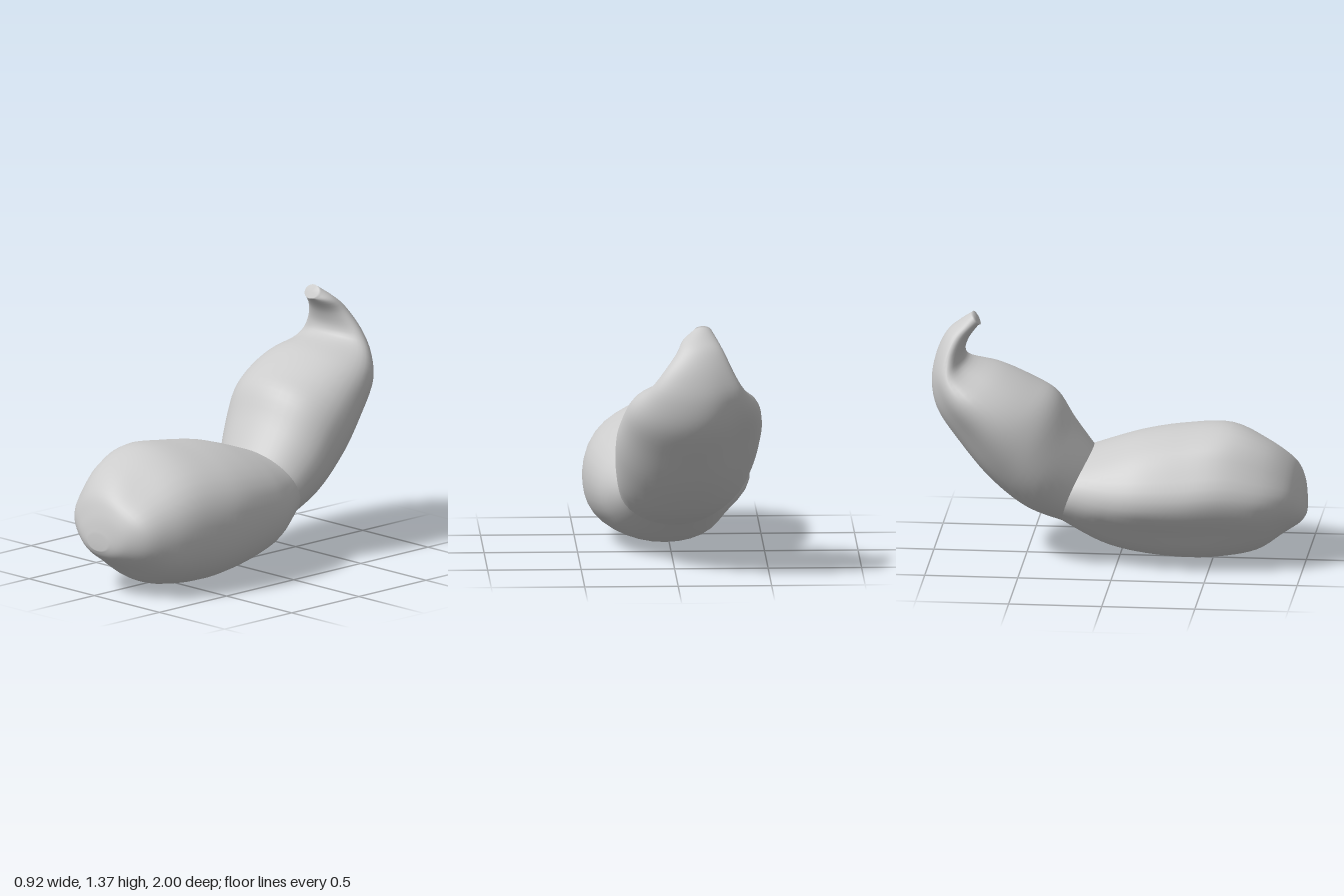
import * as THREE from 'three';

const SIDES = 40, ROWS = 40;

// Cross-sections: [upper z, upper y, lower z, lower y, min x, max x, sideways lean]
const SEAM = [-0.14, 0.6, -0.3, 0.2, -0.31, 0.29, 0];
const FRONT = [
  SEAM,
  [0, 0.65, -0.1, 0.085, -0.385, 0.385, -0.02],
  [0.15, 0.695, 0.1, 0.03, -0.43, 0.43, -0.03],
  [0.35, 0.73, 0.35, 0, -0.435, 0.455, -0.04],
  [0.6, 0.75, 0.55, 0.005, -0.405, 0.43, -0.05],
  [0.8, 0.67, 0.74, 0.045, -0.345, 0.39, -0.05],
  [0.93, 0.56, 0.88, 0.14, -0.25, 0.33, -0.03],
  [0.98, 0.45, 0.97, 0.205, -0.14, 0.22, 0],
  [1, 0.34, 1, 0.25, -0.05, 0.1, 0],
];
const BACK = [
  SEAM,
  [-0.24, 0.75, -0.5, 0.285, -0.4, 0.31, 0],
  [-0.33, 0.9, -0.7, 0.45, -0.45, 0.315, 0],
  [-0.45, 0.975, -0.86, 0.65, -0.465, 0.29, 0],
  [-0.62, 1.05, -0.97, 0.82, -0.44, 0.245, 0],
  [-0.78, 1.09, -1, 0.98, -0.365, 0.155, 0],
  [-0.82, 1.14, -0.975, 1.13, -0.305, 0.08, 0],
  [-0.8, 1.22, -0.92, 1.25, -0.255, 0.005, 0],
  [-0.75, 1.29, -0.85, 1.315, -0.215, -0.035, 0],
  [-0.735, 1.3, -0.775, 1.37, -0.19, -0.09, 0],
];

// Local swellings and hollows: [angle in degrees, position 0..1, amount, angular width, length]
const FRONT_BUMPS = [
  [-148, 0.35, -0.13, 22, 0.35],
  [145, 0.5, -0.09, 22, 0.35],
  [28, 0.4, 0.05, 25, 0.3],
  [-35, 0.55, 0.03, 22, 0.3],
  [55, 0.68, -0.11, 28, 0.15],
  [110, 0.62, 0.02, 18, 0.12],
];
const BACK_BUMPS = [
  [-137, 0.42, -0.13, 28, 0.25],
  [138, 0.55, -0.1, 24, 0.1],
  [42, 0.6, -0.05, 24, 0.1],
];

// Smoothly blended cross-section at t (0..1)
function sectionAt(list, t) {
  const f = t * (list.length - 1);
  const i = Math.min(Math.floor(f), list.length - 2), u = f - i;
  const at = k => list[Math.max(0, Math.min(list.length - 1, k))];
  return list[0].map((_, k) => {
    const [a, b, c, d] = [at(i - 1)[k], at(i)[k], at(i + 1)[k], at(i + 2)[k]];
    return b + 0.5 * u * (c - a + u * (2 * a - 5 * b + 4 * c - d + u * (3 * (b - c) + d - a)));
  });
}

// Radius factor from the bumps; fades out at the seam and the tip
function swell(bumps, angle, t) {
  return bumps.reduce((sum, [deg, t0, amount, width, length]) => {
    const turn = (((angle - deg) % 360) + 540) % 360 - 180;
    return sum + amount * Math.exp(-((turn / width) ** 2) - ((t - t0) / length) ** 2) * Math.min(1, 8 * t, 8 * (1 - t));
  }, 1);
}

// Lobe lofted from the shared seam out to a closed tip
function lobe(name, list, bumps, flip, material) {
  const pos = [], index = [];
  const tri = (a, b, c) => (flip ? index.push(a, c, b) : index.push(a, b, c));
  for (let r = 0; r <= ROWS; r++) {
    const t = r / ROWS;
    const [tz, ty, bz, by, x0, x1, lean] = sectionAt(list, t);
    // The seam bows gently backwards at mid height
    const bow = -0.025 * Math.max(0, 1 - 5 * t);
    for (let j = 0; j < SIDES; j++) {
      const a = (j / SIDES) * Math.PI * 2;
      const k = swell(bumps, (j / SIDES) * 360, t);
      const c = k * Math.cos(a), s = k * Math.sin(a);
      pos.push(
        (x0 + x1) / 2 + ((x1 - x0) / 2) * c + lean * s,
        (ty + by) / 2 + ((ty - by) / 2) * s,
        (tz + bz) / 2 + ((tz - bz) / 2) * s + bow * c * c
      );
      if (r < ROWS) {
        const p = r * SIDES + j, q = r * SIDES + ((j + 1) % SIDES);
        tri(p, q, p + SIDES);
        tri(q, q + SIDES, p + SIDES);
      }
    }
  }
  // Tip cap
  const [tz, ty, bz, by, x0, x1] = list[list.length - 1];
  const tip = pos.length / 3, last = ROWS * SIDES;
  pos.push((x0 + x1) / 2, (ty + by) / 2, (tz + bz) / 2);
  for (let j = 0; j < SIDES; j++) tri(last + j, last + ((j + 1) % SIDES), tip);

  const geometry = new THREE.BufferGeometry();
  geometry.setAttribute('position', new THREE.Float32BufferAttribute(pos, 3));
  geometry.setIndex(index);
  geometry.computeVertexNormals();
  const mesh = new THREE.Mesh(geometry, material);
  mesh.name = name;
  return mesh;
}

export function createModel() {
  const group = new THREE.Group();
  group.name = 'twoLobedPod';
  const material = new THREE.MeshStandardMaterial({ color: 0xcccccc });
  group.add(lobe('frontLobe', FRONT, FRONT_BUMPS, false, material));
  group.add(lobe('hookedBackLobe', BACK, BACK_BUMPS, true, material));
  return group;
}
